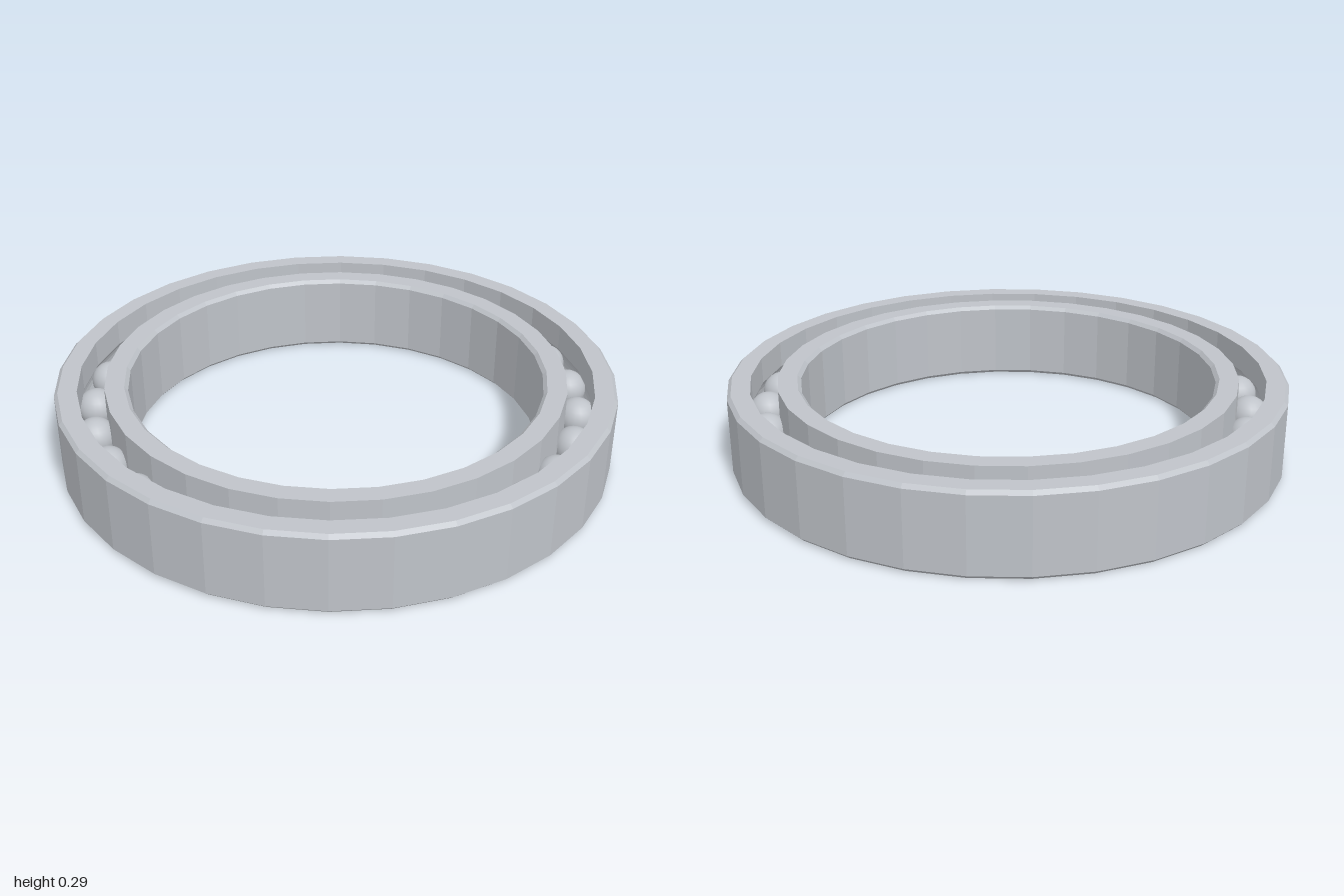
import * as THREE from 'three';

const HEIGHT = 0.295;
const MID = HEIGHT / 2;
const CHAMFER = 0.013;
const PITCH = 0.87; // radius of the circle of ball centres
const BALL = 0.07;
const GROOVE = 0.073;
const BALLS = 27;

// Points of the raceway groove between the two rims, from start to end angle.
function grooveArc(wallRadius, rising) {
  const dx = wallRadius - PITCH;
  const half = Math.acos(Math.abs(dx) / GROOVE);
  const points = [];
  for (let i = 0; i <= 8; i++) {
    const a = (rising ? 1 : -1) * (-half + (2 * half * i) / 8);
    points.push([PITCH + Math.sign(dx) * GROOVE * Math.cos(a), MID + GROOVE * Math.sin(a)]);
  }
  return points;
}

// Faceted ring from a closed profile, listed counter-clockwise as [radius, height].
function ring(name, profile, material) {
  const points = [...profile, profile[0]].map(([r, y]) => new THREE.Vector2(r, y));
  const geometry = new THREE.LatheGeometry(points, 32).toNonIndexed();
  geometry.computeVertexNormals();
  const mesh = new THREE.Mesh(geometry, material);
  mesh.name = name;
  return mesh;
}

export function createModel() {
  const steel = new THREE.MeshStandardMaterial({ color: 0xbfc3c9 });
  steel.name = 'steel';
  const group = new THREE.Group();
  group.name = 'ballBearing';

  // Outer ring: chamfered outside, raceway groove inside
  const outerWall = 0.92;
  group.add(ring('outerRing', [
    [outerWall, 0],
    [1 - CHAMFER, 0],
    [1, CHAMFER],
    [1, HEIGHT - CHAMFER],
    [1 - CHAMFER, HEIGHT],
    [outerWall, HEIGHT],
    ...grooveArc(outerWall, false),
  ], steel));

  // Inner ring: chamfered bore, raceway groove outside
  const innerWall = 0.825;
  const bore = 0.743;
  group.add(ring('innerRing', [
    [bore + CHAMFER, 0],
    [innerWall, 0],
    ...grooveArc(innerWall, false),
    [innerWall, HEIGHT],
    [bore + CHAMFER, HEIGHT],
    [bore, HEIGHT - CHAMFER],
    [bore, CHAMFER],
  ].map((p) => p), steel));

  // Balls evenly spaced along the raceway
  const balls = new THREE.Group();
  balls.name = 'balls';
  const ballGeometry = new THREE.SphereGeometry(BALL, 20, 14);
  for (let i = 0; i < BALLS; i++) {
    const a = (i / BALLS) * Math.PI * 2;
    const ball = new THREE.Mesh(ballGeometry, steel);
    ball.name = 'ball';
    ball.position.set(PITCH * Math.cos(a), MID, PITCH * Math.sin(a));
    balls.add(ball);
  }
  group.add(balls);
  return group;
}
